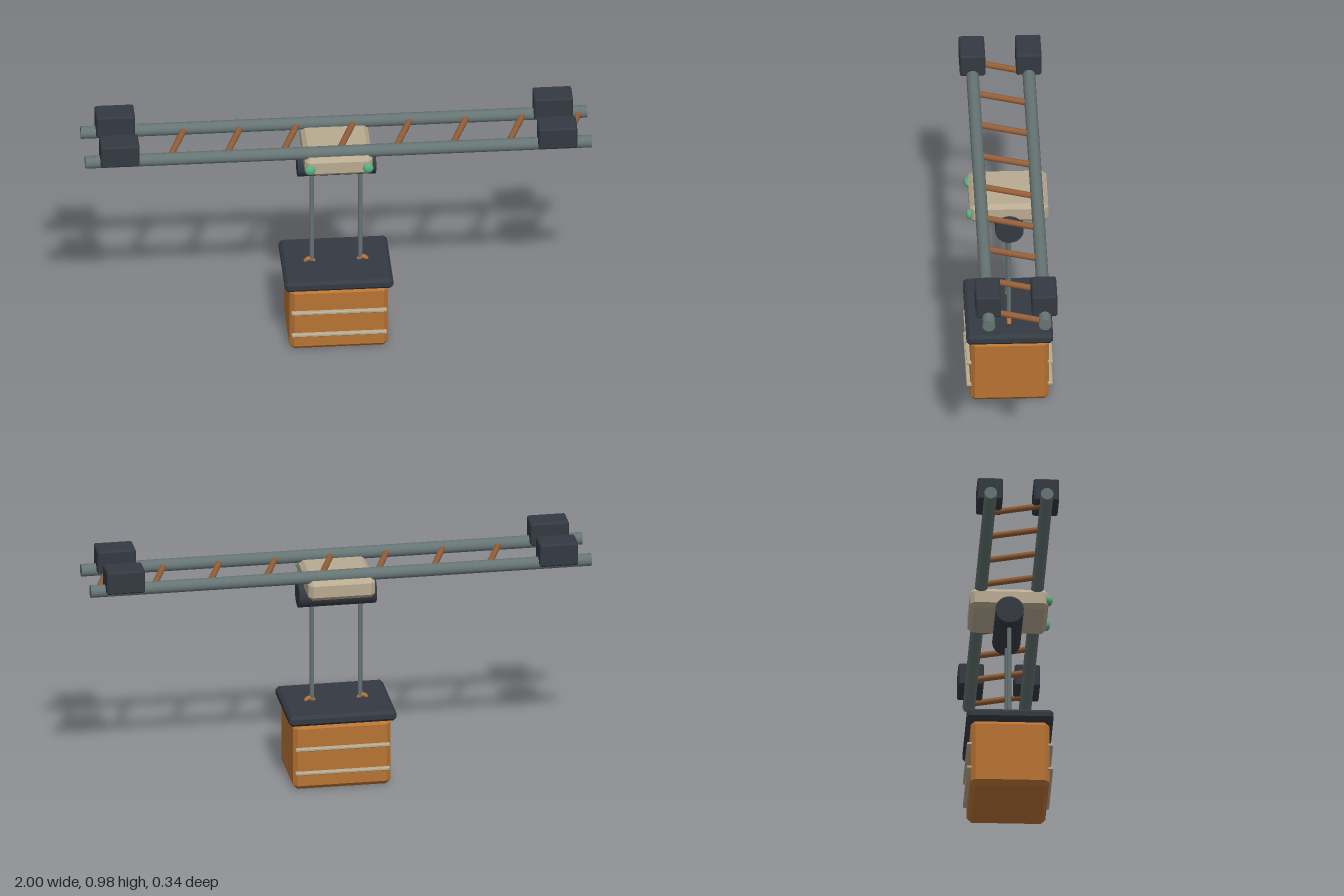
import * as THREE from 'three';
import { ConvexGeometry } from 'three/addons/geometries/ConvexGeometry.js';

const mat = (name, color) => {
  const m = new THREE.MeshStandardMaterial({ color });
  m.name = name;
  return m;
};

// Box with every edge cut by a flat chamfer b
function chamferBox(w, h, d, b) {
  const x = w / 2, y = h / 2, z = d / 2, pts = [];
  for (const i of [-1, 1]) for (const j of [-1, 1]) for (const k of [-1, 1]) {
    pts.push(
      new THREE.Vector3(i * x, j * (y - b), k * (z - b)),
      new THREE.Vector3(i * (x - b), j * y, k * (z - b)),
      new THREE.Vector3(i * (x - b), j * (y - b), k * z));
  }
  return new ConvexGeometry(pts);
}

export function createModel() {
  const group = new THREE.Group();
  group.name = 'overheadTrolleyHoist';

  const steel = mat('steel', 0x667474);
  const dark = mat('darkMetal', 0x343a42);
  const copper = mat('copperBrown', 0x945f38);
  const orange = mat('crateOrange', 0xb87333);
  const beige = mat('beige', 0xb9ab91);
  const green = mat('lampGreen', 0x58ae80);

  const add = (name, geometry, material, x = 0, y = 0, z = 0) => {
    const mesh = new THREE.Mesh(geometry, material);
    mesh.name = name;
    mesh.position.set(x, y, z);
    group.add(mesh);
    return mesh;
  };
  // Round bar between two points
  const bar = (name, a, b, r, material, sides = 16) => {
    const from = new THREE.Vector3(...a), dir = new THREE.Vector3(...b).sub(from);
    const mesh = add(name, new THREE.CylinderGeometry(r, r, dir.length(), sides), material);
    mesh.position.copy(from).addScaledVector(dir, 0.5);
    mesh.quaternion.setFromUnitVectors(new THREE.Vector3(0, 1, 0), dir.normalize());
  };

  // Twin rails with end blocks
  const railY = 0.887, railZ = 0.111;
  const blockGeometry = chamferBox(0.153, 0.094, 0.1, 0.006);
  for (const s of [-1, 1]) {
    bar('rail', [-1, railY, s * railZ], [1, railY, s * railZ], 0.025, steel, 20);
    for (const e of [-1, 1]) add('endBlock', blockGeometry, dark, e * 0.865, 0.933, s * railZ);
  }

  // Slanted rungs between the rails
  for (let i = -4; i <= 4; i++) {
    const x = i * 0.223;
    bar('rung', [x, railY, railZ], [x + 0.08, railY, -railZ], 0.0125, copper, 12);
  }

  // Trolley body, lamps and winding drum
  add('trolleyBody', chamferBox(0.267, 0.082, 0.31, 0.017), beige, 0, 0.839, 0);
  for (const s of [-1, 1]) {
    add('lamp', new THREE.SphereGeometry(0.021, 20, 14), green, s * 0.115, 0.834, 0.157).scale.z = 0.65;
  }
  bar('drum', [-0.155, 0.776, 0], [0.155, 0.776, 0], 0.056, dark, 32);

  // Cables and the lifting eyes on the lid
  for (const s of [-1, 1]) {
    bar('cable', [s * 0.096, 0.31, 0], [s * 0.096, 0.776, 0], 0.009, steel, 12);
    add('liftingEye', new THREE.TorusGeometry(0.016, 0.009, 8, 20), orange, s * 0.105, 0.312, 0);
  }

  // Crate, lid and slats on the front and back
  add('crate', chamferBox(0.39, 0.277, 0.31, 0.018), orange, 0, 0.1385, 0);
  add('lid', chamferBox(0.428, 0.044, 0.342, 0.012), dark, 0, 0.297, 0);
  const slatGeometry = chamferBox(0.376, 0.013, 0.02, 0.003);
  for (const y of [0.074, 0.175]) {
    for (const s of [-1, 1]) add('slat', slatGeometry, beige, 0, y, s * 0.16);
  }

  return group;
}
